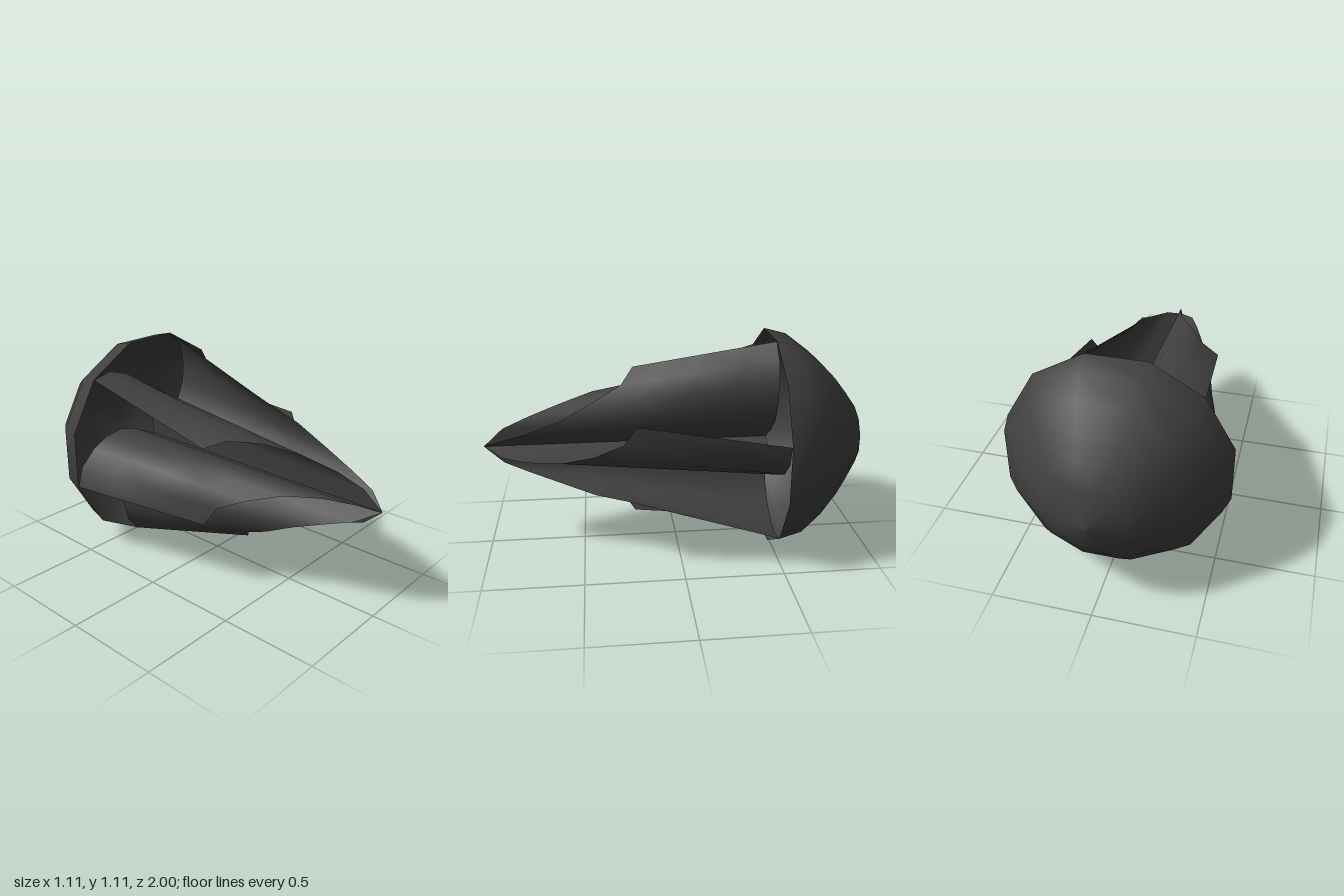
import * as THREE from 'three';

const AXIS_Y = 0.555;   // height of the long axis
const BASE_Z = -0.49;   // plane where the dome meets the blades

// Ruled sheet between two polylines of equal length, smooth-shaded.
function ruledSheet(from, to, steps) {
  const positions = [], index = [];
  const n = from.length;
  for (let j = 0; j <= steps; j++) {
    for (let i = 0; i < n; i++) {
      const p = new THREE.Vector3(...from[i]).lerp(new THREE.Vector3(...to[i]), j / steps);
      positions.push(p.x, p.y, p.z);
    }
  }
  for (let j = 0; j < steps; j++) {
    for (let i = 0; i < n - 1; i++) {
      const a = j * n + i, b = a + 1, c = a + n, d = c + 1;
      index.push(a, c, b, b, c, d);
    }
  }
  const geometry = new THREE.BufferGeometry();
  geometry.setAttribute('position', new THREE.Float32BufferAttribute(positions, 3));
  geometry.setIndex(index);
  geometry.computeVertexNormals();
  return geometry;
}

export function createModel() {
  const model = new THREE.Group();
  model.name = 'flutedCone';
  const material = new THREE.MeshStandardMaterial({ color: 0x404040, side: THREE.DoubleSide });

  // Open twelve-sided dome at the back: [radius, z]
  const domeProfile = [
    [0, -1], [0.17, -0.955], [0.26, -0.89], [0.35, -0.82],
    [0.455, -0.72], [0.545, -0.605], [0.575, BASE_Z],
  ].map(([r, z]) => new THREE.Vector2(r, z));
  const domeGeometry = new THREE.LatheGeometry(domeProfile, 12, Math.PI / 12);
  domeGeometry.rotateX(Math.PI / 2);
  const dome = new THREE.Mesh(domeGeometry, material);
  dome.name = 'dome';
  dome.position.y = AXIS_Y;
  model.add(dome);

  // Curved blade: rim edge on the dome and stepped leading edge, both rim to axis
  const baseEdge = [
    [-0.406, 0.406], [-0.3, 0.43], [-0.185, 0.395], [-0.1, 0.335],
    [-0.04, 0.255], [-0.01, 0.145], [0, 0],
  ].map(([x, y]) => [x, y, BASE_Z]);
  const leadingEdge = [
    [-0.351, 0.203, 0.22], [-0.25, 0.23, 0.285], [-0.165, 0.23, 0.43],
    [-0.08, 0.195, 0.6], [-0.03, 0.143, 0.77], [-0.01, 0.09, 0.9], [0, 0, 1],
  ];
  const bladeGeometry = ruledSheet(baseEdge, leadingEdge, 4);

  // Six blades around the axis
  const blades = new THREE.Group();
  blades.name = 'blades';
  blades.position.y = AXIS_Y;
  for (let i = 0; i < 6; i++) {
    const blade = new THREE.Mesh(bladeGeometry, material);
    blade.name = `blade${i + 1}`;
    blade.rotation.z = (i * Math.PI) / 3;
    blades.add(blade);
  }
  model.add(blades);

  return model;
}
